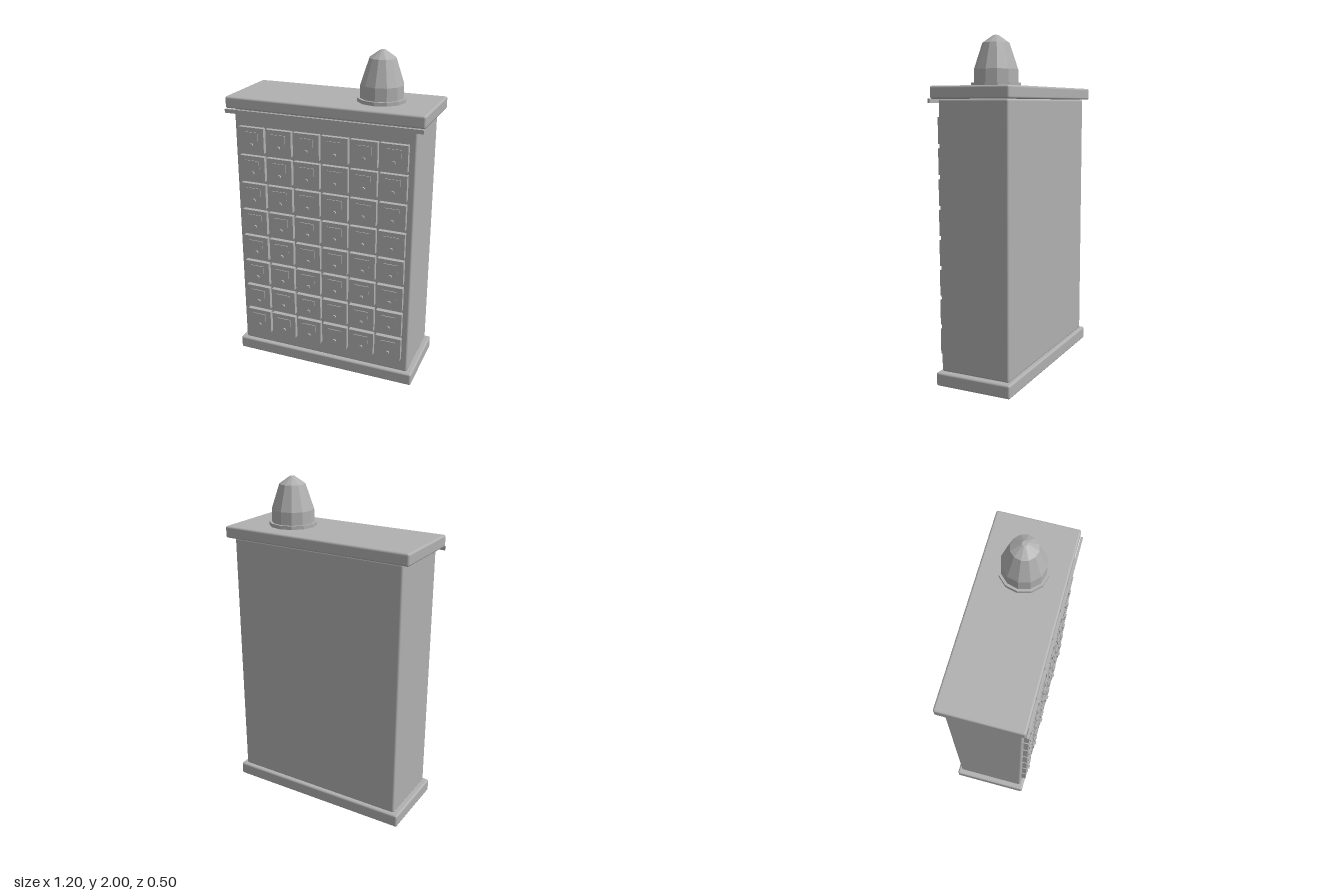
import * as THREE from 'three';
import { RoundedBoxGeometry } from 'three/addons/geometries/RoundedBoxGeometry.js';

export function createModel() {
  const group = new THREE.Group();
  const grey = new THREE.MeshStandardMaterial({ color: 0xb0b0b0 });
  grey.name = 'plain grey';
  const facetedGrey = grey.clone();
  facetedGrey.flatShading = true;

  const add = (name, geometry, x, y, z, parent = group, material = grey) => {
    const mesh = new THREE.Mesh(geometry, material);
    mesh.name = name;
    mesh.position.set(x, y, z);
    parent.add(mesh);
    return mesh;
  };

  // Rounded box given by its limits on each axis
  const slab = (name, x0, x1, y0, y1, z0, z1, radius) =>
    add(name, new RoundedBoxGeometry(x1 - x0, y1 - y0, z1 - z0, 2, radius),
      (x0 + x1) / 2, (y0 + y1) / 2, (z0 + z1) / 2);

  // Cabinet carcass
  slab('plinth', -0.59, 0.584, 0, 0.08, -0.242, 0.23, 0.012);
  slab('cabinetBody', -0.558, 0.552, 0.08, 1.643, -0.222, 0.21, 0.012);
  slab('cabinetTop', -0.604, 0.6, 1.643, 1.714, -0.25, 0.235, 0.012);
  add('frontTrim', new THREE.BoxGeometry(1.195, 0.023, 0.013), -0.002, 1.632, 0.2435);

  // Grid of drawers, each with a label plate and a knob
  const frontGeometry = new THREE.BoxGeometry(0.16, 0.151, 0.032);
  const labelGeometry = new THREE.BoxGeometry(0.09, 0.05, 0.006);
  const knobGeometry = new THREE.CylinderGeometry(0.012, 0.012, 0.012, 12);
  knobGeometry.rotateX(Math.PI / 2);
  const pitch = 0.1747;
  for (let row = 0; row < 8; row++) {
    for (let column = 0; column < 6; column++) {
      const drawer = new THREE.Group();
      drawer.name = 'drawer';
      drawer.position.set(-0.004 + (column - 2.5) * pitch, 0.245 + row * pitch, 0);
      add('drawerFront', frontGeometry, 0, 0, 0.222, drawer);
      add('labelPlate', labelGeometry, 0, 0.024, 0.24, drawer);
      add('knob', knobGeometry, 0, -0.031, 0.242, drawer);
      group.add(drawer);
    }
  }

  // Faceted dome standing on a thin flange
  const profile = [
    [0, 1.71], [0.142, 1.71], [0.142, 1.735], [0.127, 1.735], [0.126, 1.81],
    [0.077, 1.957], [0.016, 2], [0, 2],
  ].map(([r, y]) => new THREE.Vector2(r, y));
  add('domeOrnament', new THREE.LatheGeometry(profile, 12), 0.276, 0, -0.008, group, facetedGrey);

  return group;
}
